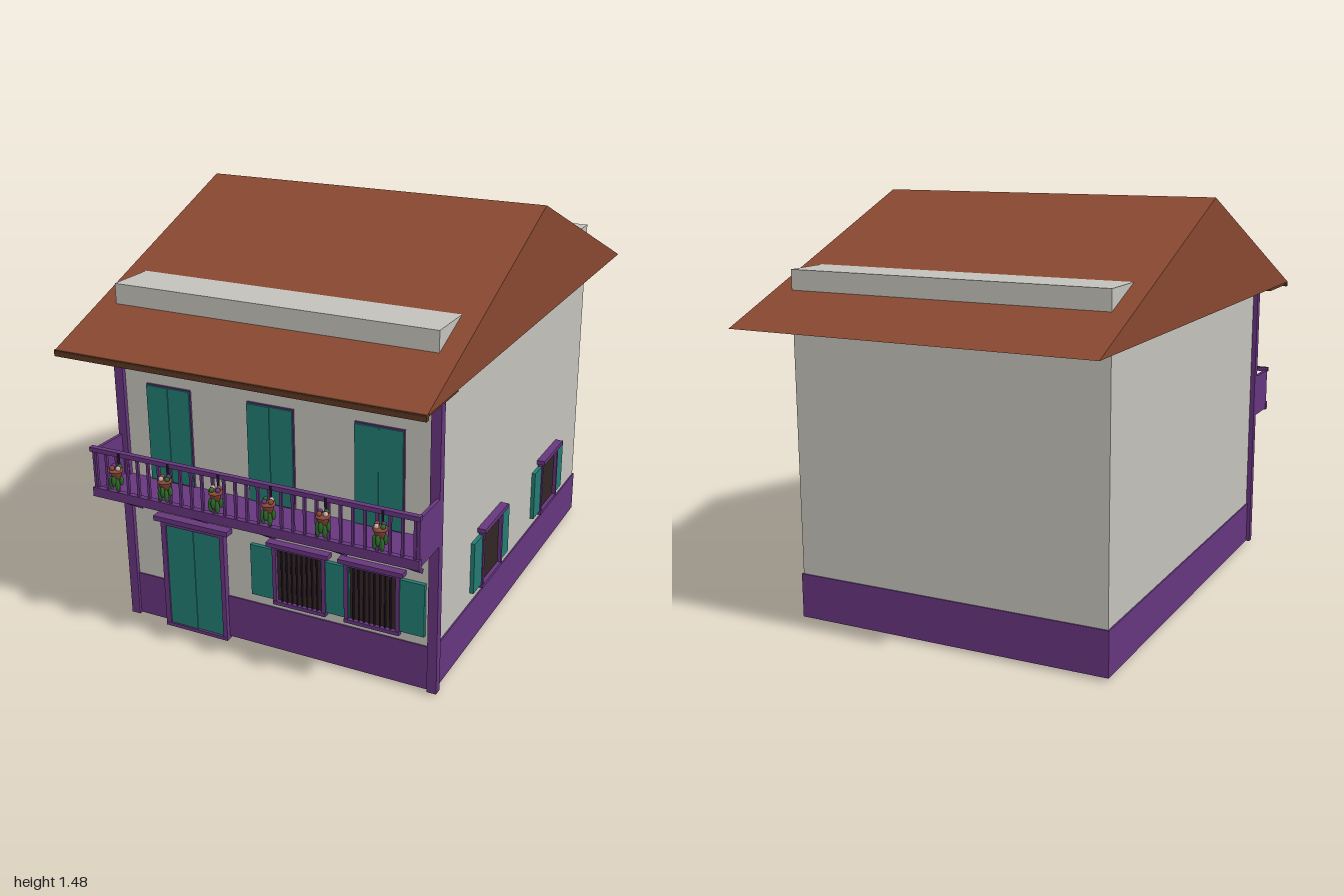
import * as THREE from 'three';

const mat = (name, color) => {
  const m = new THREE.MeshStandardMaterial({ color });
  m.name = name;
  return m;
};

export function createModel() {
  const wall = mat('plaster', 0xc4c2bb);
  const tile = mat('roofTile', 0x884831);
  const timber = mat('eaveTimber', 0x5e3822);
  const purple = mat('purplePaint', 0x67367f);
  const teal = mat('tealPaint', 0x237b72);
  const glass = mat('darkGlass', 0x302624);
  const iron = mat('iron', 0x2a1b30);
  const clay = mat('clay', 0x8a4a38);
  const leaf = mat('leaf', 0x2f6a2c);
  const petal = mat('petal', 0xc9a8a8);

  const model = new THREE.Group();
  model.name = 'house';

  const add = (parent, name, geo, material, x = 0, y = 0, z = 0) => {
    const m = new THREE.Mesh(geo, material);
    m.name = name;
    m.position.set(x, y, z);
    parent.add(m);
    return m;
  };
  // Box given by its extents on each axis
  const box = (parent, name, material, x0, x1, y0, y1, z0, z1) =>
    add(parent, name, new THREE.BoxGeometry(x1 - x0, y1 - y0, z1 - z0), material,
      (x0 + x1) / 2, (y0 + y1) / 2, (z0 + z1) / 2);
  const group = (parent, name, x = 0, y = 0, z = 0) => {
    const g = new THREE.Group();
    g.name = name;
    g.position.set(x, y, z);
    parent.add(g);
    return g;
  };

  // Walls rise through the roof as two long parapets
  box(model, 'walls', wall, -0.582, 0.582, 0.018, 1.25, -0.75, 0.75);
  box(model, 'plinth', purple, -0.587, 0.587, 0.015, 0.175, -0.755, 0.755);
  for (const s of [-1, 1]) {
    const x = s * 0.583;
    box(model, 'cornerPost', purple, x - 0.017, x + 0.017, 0.012, 1.08, 0.735, 0.765);
  }

  // Solid gable roof with a flat underside
  const gable = new THREE.Shape([
    new THREE.Vector2(-1, 1.08), new THREE.Vector2(1, 1.08), new THREE.Vector2(0, 1.48),
  ]);
  const roofGeo = new THREE.ExtrudeGeometry(gable, { depth: 1.3, bevelEnabled: false });
  roofGeo.translate(0, 0, -0.65).rotateY(Math.PI / 2);
  add(model, 'roof', roofGeo, tile);

  // Front eave board and rafters
  box(model, 'eaveBoard', timber, -0.65, 0.65, 1.063, 1.084, 0.98, 0.999);
  for (let i = 0; i < 14; i++) {
    const x = -0.635 + i * 1.27 / 13;
    box(model, 'rafter', timber, x - 0.01, x + 0.01, 1.069, 1.081, 0.75, 0.985);
  }

  // Pair of leaves, one slightly proud so the joint reads
  const leaves = (parent, x0, x1, y0, y1, z) => {
    const mid = (x0 + x1) / 2;
    box(parent, 'leftLeaf', teal, mid, x1, y0, y1, z - 0.012, z);
    box(parent, 'rightLeaf', teal, x0, mid, y0, y1, z - 0.012, z + 0.003);
  };

  // Front door
  const door = group(model, 'frontDoor');
  box(door, 'doorFrame', purple, -0.445, -0.425, 0.003, 0.412, 0.74, 0.772);
  box(door, 'doorFrame', purple, -0.207, -0.19, 0.003, 0.412, 0.74, 0.772);
  box(door, 'doorHead', purple, -0.425, -0.207, 0.403, 0.412, 0.74, 0.772);
  box(door, 'doorStep', purple, -0.445, -0.19, 0.003, 0.016, 0.74, 0.773);
  leaves(door, -0.425, -0.207, 0.016, 0.403, 0.764);
  box(door, 'doorLintel', purple, -0.465, -0.167, 0.42, 0.438, 0.74, 0.785);

  // Balcony doors
  for (const x of [-0.39, 0, 0.39]) {
    const g = group(model, 'balconyDoor', x);
    box(g, 'balconyDoorFrame', purple, -0.086, 0.086, 0.56, 0.917, 0.745, 0.757);
    leaves(g, -0.083, 0.083, 0.57, 0.913, 0.761);
  }

  // Barred window with open shutters, facing local +z
  const makeWindow = (parent, half, shutter, bars) => {
    const g = group(parent, 'window');
    const inner = half - 0.014;
    box(g, 'pane', glass, -inner, inner, 0.21, 0.408, -0.01, 0.006);
    for (const s of [-1, 1]) {
      const jamb = s * (half - 0.007);
      box(g, 'jamb', purple, jamb - 0.007, jamb + 0.007, 0.2, 0.412, -0.01, 0.018);
      const sh = s * (half + shutter / 2 - 0.008);
      box(g, 'shutter', teal, sh - shutter / 2, sh + shutter / 2, 0.213, 0.403, -0.005, 0.014);
    }
    box(g, 'sill', purple, -half, half, 0.198, 0.211, -0.01, 0.02);
    box(g, 'head', purple, -half, half, 0.406, 0.414, -0.01, 0.018);
    box(g, 'lintel', purple, -half - 0.016, half + 0.016, 0.418, 0.434, -0.01, 0.03);
    for (let i = 1; i <= bars; i++) {
      const x = -inner + i * 2 * inner / (bars + 1);
      add(g, 'bar', new THREE.CylinderGeometry(0.003, 0.003, 0.2, 6), iron, x, 0.309, 0.012);
    }
    return g;
  };
  for (const x of [0.098, 0.367]) makeWindow(model, 0.1, 0.094, 8).position.set(x, 0, 0.75);
  for (const z of [0.265, -0.366]) {
    const w = makeWindow(model, 0.098, 0.082, 0);
    w.position.set(0.582, 0, z);
    w.rotation.y = Math.PI / 2;
  }

  // Balcony: floor, solid ends, rails and balusters
  const balcony = group(model, 'balcony');
  box(balcony, 'balconyFloor', purple, -0.6, 0.6, 0.55, 0.566, 0.75, 0.915);
  box(balcony, 'bottomRail', purple, -0.602, 0.602, 0.545, 0.578, 0.905, 0.924);
  box(balcony, 'topRail', purple, -0.604, 0.604, 0.709, 0.725, 0.905, 0.924);
  for (const s of [-1, 1]) {
    box(balcony, 'endPanel', purple, s * 0.594 - 0.006, s * 0.594 + 0.006, 0.556, 0.714, 0.75, 0.915);
  }
  const baluster = new THREE.BoxGeometry(0.009, 0.14, 0.009);
  for (let i = 0; i < 29; i++) {
    add(balcony, 'baluster', baluster, purple, -0.585 + i * 1.17 / 28, 0.643, 0.914);
  }

  // Slanted braces under the balcony
  for (let i = 0; i < 5; i++) {
    const brace = add(balcony, 'brace', new THREE.BoxGeometry(0.02, 0.014, 0.19), purple,
      -0.535 + i * 0.267, 0.5, 0.835);
    brace.rotation.x = -Math.atan2(0.1, 0.15);
  }

  // Hanging flower pots
  const potGeo = new THREE.LatheGeometry([[0, -0.018], [0.014, -0.018], [0.02, 0.01], [0.024, 0.01],
    [0.024, 0.018], [0, 0.018]].map(([r, y]) => new THREE.Vector2(r, y)), 10);
  const leafGeo = new THREE.SphereGeometry(0.01, 8, 6);
  const petalGeo = new THREE.SphereGeometry(0.009, 8, 6);
  for (let i = 0; i < 6; i++) {
    const p = group(model, 'flowerPot', -0.483 + i * 0.193, 0.658, 0.944);
    add(p, 'pot', potGeo, clay);
    box(p, 'hook', iron, -0.003, 0.003, 0.01, 0.067, -0.021, -0.015);
    for (const [x, y, z, sy] of [[-0.014, -0.03, 0.01, 2.6], [0.012, -0.033, 0.012, 2.4],
      [0, -0.02, 0.016, 2], [0.016, -0.022, -0.004, 1.8]]) {
      add(p, 'trailingLeaf', leafGeo, leaf, x, y, z).scale.set(0.9, sy, 0.7);
    }
    [petal, clay, purple, leaf].forEach((m, k) => {
      const a = (k + i) * Math.PI / 2 + 0.5;
      add(p, 'bloom', petalGeo, m, 0.015 * Math.cos(a), 0.024, 0.012 * Math.sin(a));
    });
  }

  return model;
}
